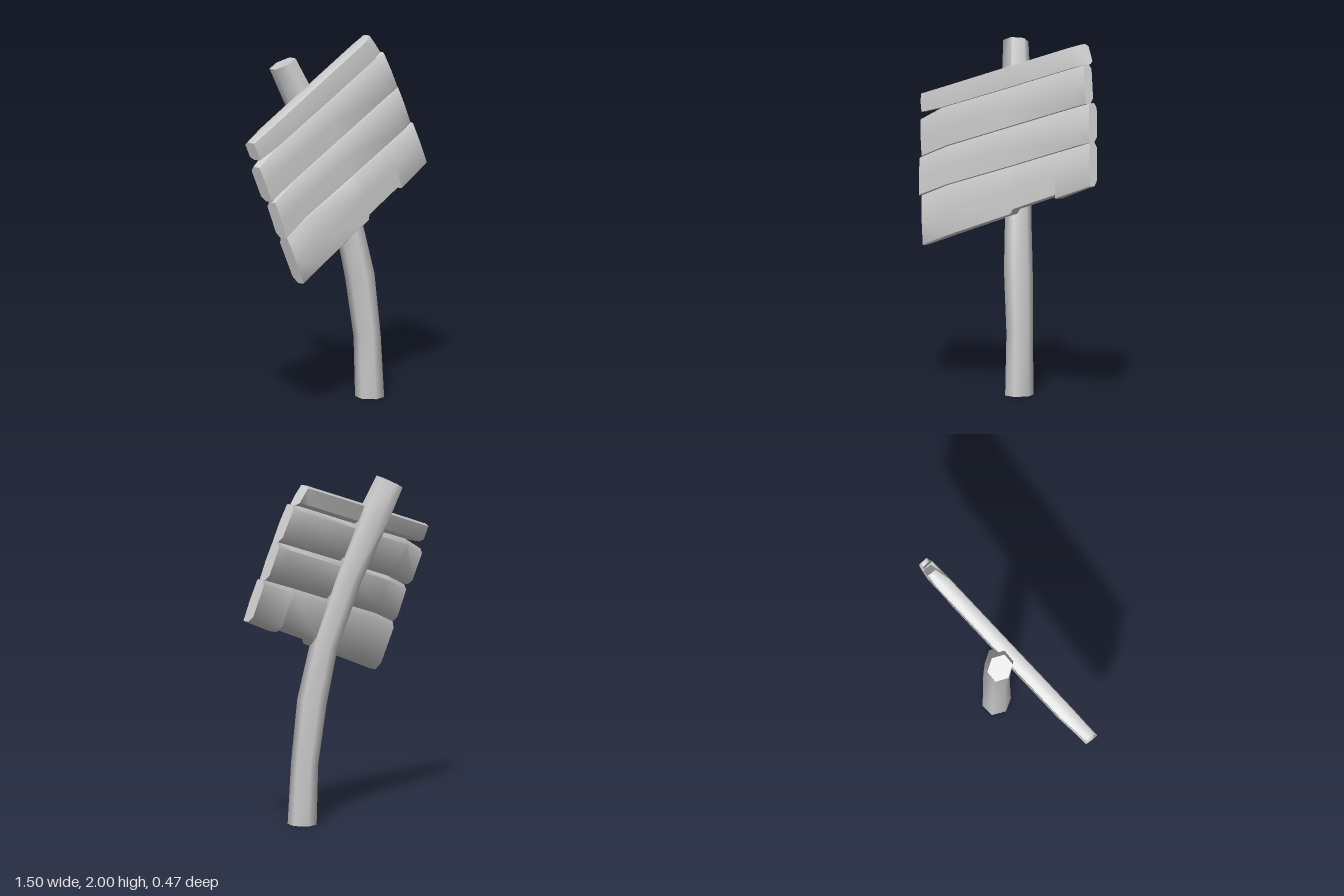
import * as THREE from 'three';
import { toCreasedNormals } from 'three/addons/utils/BufferGeometryUtils.js';

// Skin a series of rings (counter-clockwise seen from the far end) and cap both ends.
function loft(rings, crease) {
  const n = rings[0].length;
  const last = rings.length - 1;
  const index = [];
  for (let i = 0; i < last; i++) {
    for (let k = 0; k < n; k++) {
      const a = i * n + k, b = i * n + (k + 1) % n;
      index.push(a, b, b + n, a, b + n, a + n);
    }
  }
  const points = rings.flat();
  [[0, true], [last, false]].forEach(([ring, flip]) => {
    const centre = [0, 1, 2].map(c => rings[ring].reduce((s, p) => s + p[c], 0) / n);
    const m = points.push(centre) - 1;
    for (let k = 0; k < n; k++) {
      const a = ring * n + k, b = ring * n + (k + 1) % n;
      index.push(m, flip ? b : a, flip ? a : b);
    }
  });
  const geometry = new THREE.BufferGeometry();
  geometry.setAttribute('position', new THREE.Float32BufferAttribute(points.flat(), 3));
  geometry.setIndex(index);
  return toCreasedNormals(geometry, crease);
}

// Bent six-sided post: x, y, z, radius of each ring
const POST = [
  [0.185, 0, 0.157, 0.076],
  [0.176, 0.35, 0.146, 0.071],
  [0.139, 0.7, 0.122, 0.077],
  [0.088, 1.02, 0.076, 0.07],
  [-0.01, 1.4, -0.015, 0.071],
  [-0.13, 1.75, -0.112, 0.075],
  [-0.197, 1.938, -0.17, 0.068],
];

function postGeometry() {
  const rings = POST.map(([x, y, z, r], i) => {
    // Tilt each ring square to the path, keeping the foot level
    const p = POST[Math.max(i - 1, 0)], q = POST[Math.min(i + 1, POST.length - 1)];
    const tx = i ? (q[0] - p[0]) / (q[1] - p[1]) : 0;
    const tz = i ? (q[2] - p[2]) / (q[1] - p[1]) : 0;
    return Array.from({ length: 6 }, (_, k) => {
      const a = Math.PI / 2 + k * Math.PI / 3;
      const dx = r * Math.sin(a), dz = r * 1.12 * Math.cos(a);
      return [x + dx, y - tx * dx - tz * dz, z + dz];
    });
  });
  return loft(rings, 1.15);
}

// Plank cross-section: position from top edge to bottom edge, depth from front to back
const SECTION = [
  [0.02, 0], [0.5, -0.06], [0.98, 0], [1, 0.08],
  [1, 0.65], [0.87, 1], [0.13, 1], [0, 0.65], [0, 0.08],
];

// The sign leans back: depth of its front face
const signFront = (x, y) => 0.415 + 0.0135 * x - 0.228 * y;

function plankGeometry({ top, bottom, shift }) {
  const last = top.length - 1;
  const rings = top.map(([x0, y0], i) => {
    const end = i === 0 || i === last;
    const thick = i === 0 ? 0.065 : i === last ? 0.058 : 0.085;
    const offset = (i === 0 ? shift[0] : i === last ? shift[1] : 0);
    return SECTION.map(([t, d]) => {
      const x = x0 + (bottom[i][0] - x0) * t;
      const y = y0 + (bottom[i][1] - y0) * t;
      return [x, y, signFront(x, y) + offset - d * thick + (end ? 0 : 0.003)];
    });
  });
  return loft(rings, 0.9);
}

// Edges of the planks from left to right as seen from the front
const SEAM_1 = [[-0.57, 1.54], [-0.05, 1.705], [0.45, 1.868]];
const SEAM_2 = [[-0.465, 1.34], [0, 1.49], [0.53, 1.66]];
const SEAM_3 = [[-0.41, 1.13], [0.07, 1.28], [0.6, 1.451]];

const PLANKS = [
  { // narrow top plank, split away at one end
    top: [[-0.755, 1.6], [-0.57, 1.66], [-0.1, 1.815], [0.38, 1.972], [0.465, 2]],
    bottom: [[-0.725, 1.5], ...SEAM_1, [0.535, 1.895]],
    shift: [0, -0.016],
  },
  {
    top: [[-0.732, 1.46], ...SEAM_1, [0.54, 1.897]],
    bottom: [[-0.675, 1.258], ...SEAM_2, [0.61, 1.686]],
    shift: [-0.01, 0.003],
  },
  {
    top: [[-0.67, 1.255], ...SEAM_2, [0.625, 1.69]],
    bottom: [[-0.625, 1.047], ...SEAM_3, [0.68, 1.476]],
    shift: [0.008, -0.008],
  },
  { // bottom plank with a chipped lower edge
    top: [[-0.612, 1.05], [-0.41, 1.13], [0.07, 1.28], [0.085, 1.285],
      [0.42, 1.393], [0.43, 1.396], [0.69, 1.479]],
    bottom: [[-0.535, 0.78], [-0.34, 0.852], [0.14, 1.022], [0.155, 1.05],
      [0.485, 1.165], [0.487, 1.145], [0.75, 1.242]],
    shift: [0, 0],
  },
];

export function createModel() {
  const group = new THREE.Group();
  group.name = 'signpost';
  const material = new THREE.MeshStandardMaterial({ color: 0xcccccc });

  const post = new THREE.Mesh(postGeometry(), material);
  post.name = 'post';
  group.add(post);

  const sign = new THREE.Group();
  sign.name = 'signBoard';
  PLANKS.forEach((plank, i) => {
    const mesh = new THREE.Mesh(plankGeometry(plank), material);
    mesh.name = `plank${i + 1}`;
    sign.add(mesh);
  });
  group.add(sign);
  return group;
}
